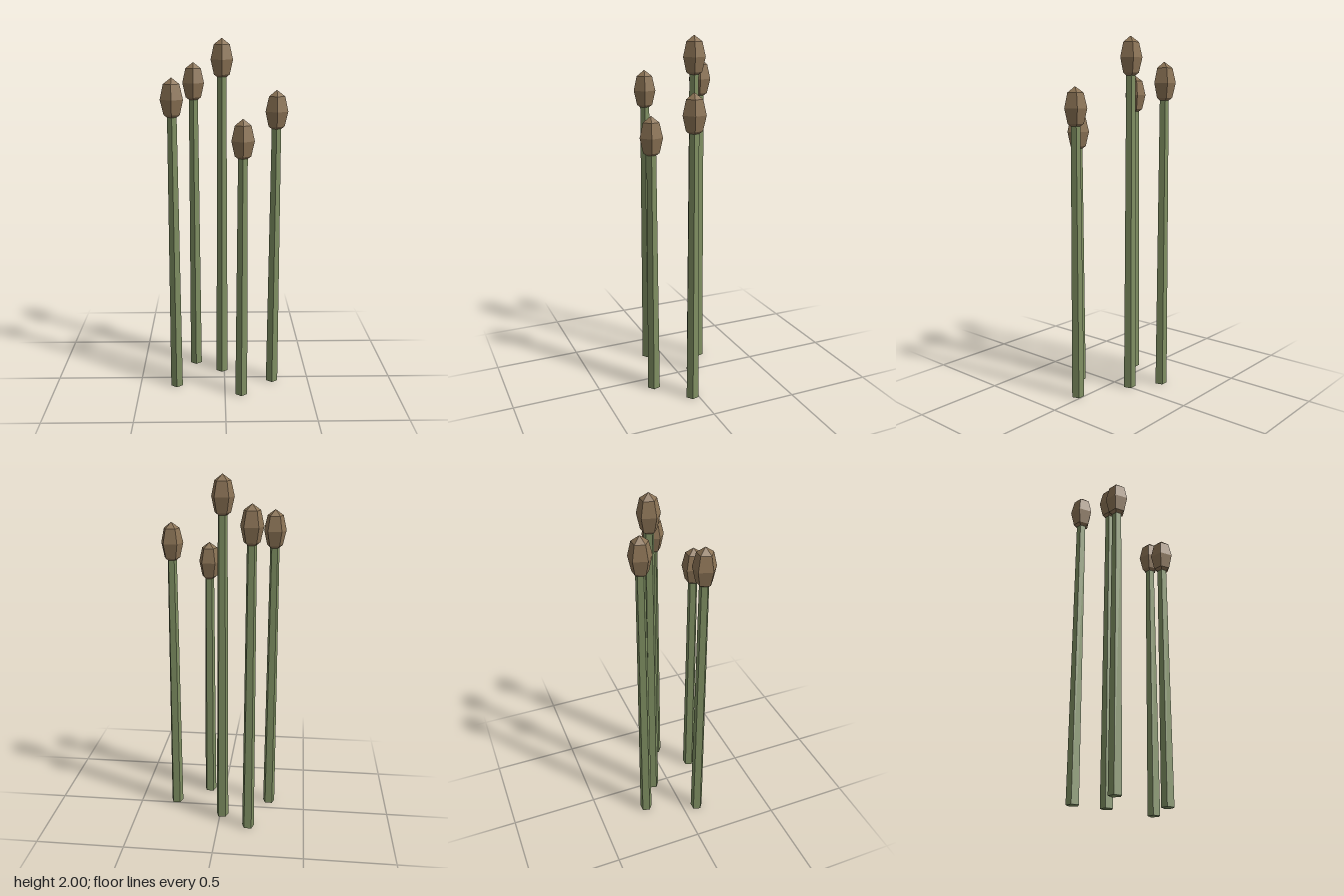
import * as THREE from 'three';

const SIDES = 5;
const HEAD_RADIUS = 0.065;
const HEAD_HALF_HEIGHT = 0.115;

// x, z and overall height of each reed
const REEDS = [
  [-0.014, -0.102, 2.0],
  [-0.176, -0.21, 1.865],
  [-0.284, 0.086, 1.8],
  [0.283, 0.032, 1.73],
  [0.094, 0.195, 1.595],
];

export function createModel() {
  const model = new THREE.Group();
  model.name = 'reedCluster';
  const green = new THREE.MeshStandardMaterial({ color: 0x7f8f62, flatShading: true });
  const brown = new THREE.MeshStandardMaterial({ color: 0x8b7355, flatShading: true });

  // Faceted seed head: a stretched low-poly ball, one edge facing the front
  const profile = [];
  for (let i = 0; i <= 4; i++) {
    const a = (i / 4 - 0.5) * Math.PI;
    const r = i % 4 === 0 ? 0 : HEAD_RADIUS * Math.cos(a);
    profile.push(new THREE.Vector2(r, HEAD_HALF_HEIGHT * Math.sin(a)));
  }
  const headGeometry = new THREE.LatheGeometry(profile, SIDES);

  REEDS.forEach(([x, z, height], i) => {
    const reed = new THREE.Group();
    reed.name = `reed${i + 1}`;
    reed.position.set(x, 0, z);

    // Tapered stem, its top tucked into the head
    const headY = height - HEAD_HALF_HEIGHT;
    const stemHeight = headY - 0.09;
    const stem = new THREE.Mesh(new THREE.CylinderGeometry(0.027, 0.036, stemHeight, SIDES), green);
    stem.name = 'stem';
    stem.position.y = stemHeight / 2;

    const head = new THREE.Mesh(headGeometry, brown);
    head.name = 'seedHead';
    head.position.y = headY;

    reed.add(stem, head);
    model.add(reed);
  });
  return model;
}
